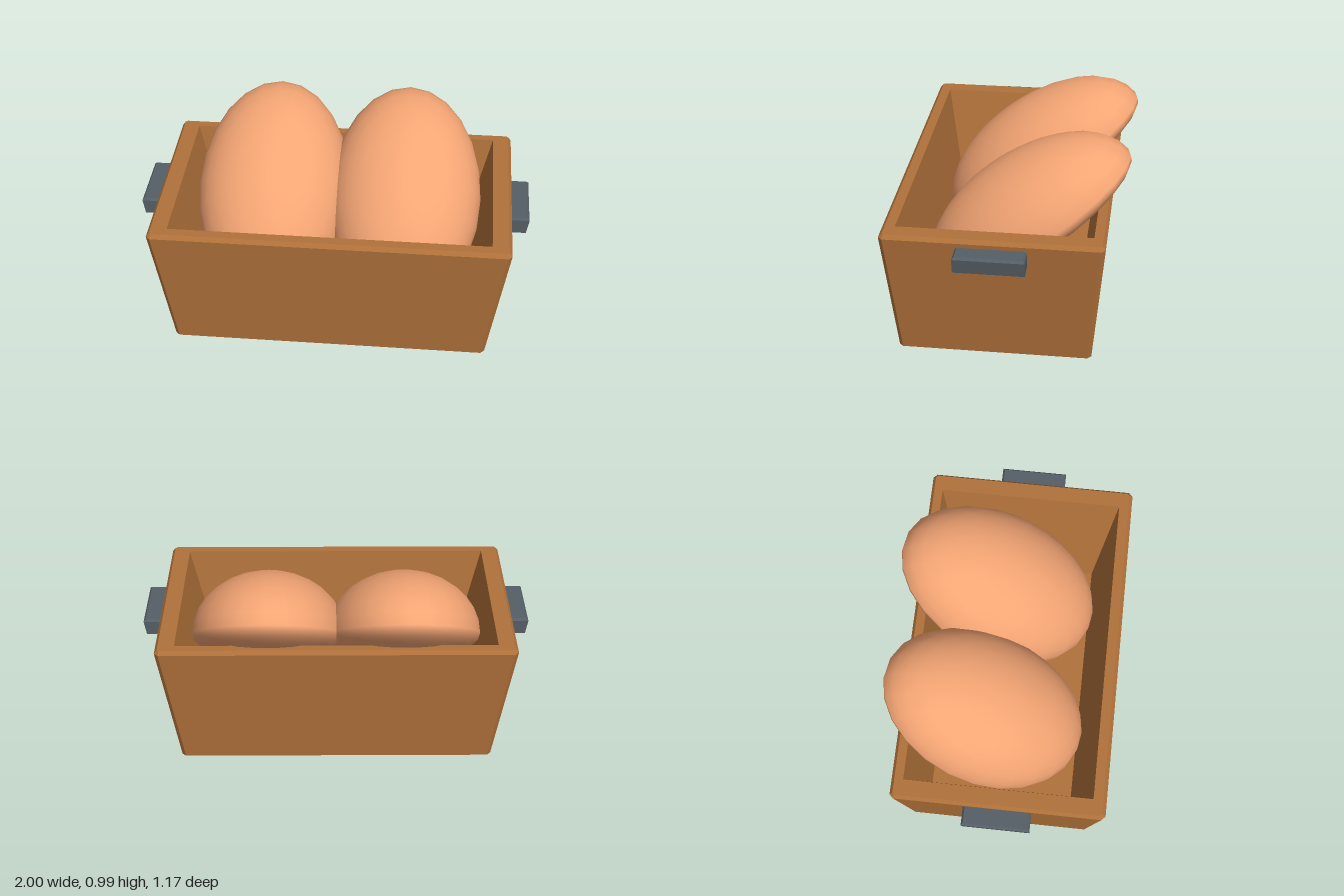
import * as THREE from 'three';
import { mergeVertices } from 'three/addons/utils/BufferGeometryUtils.js';

const wood = new THREE.MeshStandardMaterial({ color: 0xb0713a, flatShading: true });
const iron = new THREE.MeshStandardMaterial({ color: 0x565f66, flatShading: true });
const shell = new THREE.MeshStandardMaterial({ color: 0xf4a574 });

// Rectangle at height y with its four corners cut by c, seen counter-clockwise from above
function ring(y, x0, x1, z0, z1, c) {
  return [
    [x0 + c, z1], [x1 - c, z1], [x1, z1 - c], [x1, z0 + c],
    [x1 - c, z0], [x0 + c, z0], [x0, z0 + c], [x0, z1 - c],
  ].map(([x, z]) => [x, y, z]);
}

// Skin a stack of rings and cap the first and last
function loft(rings) {
  const pos = [];
  const tri = (a, b, c) => pos.push(...a, ...b, ...c);
  for (let r = 0; r + 1 < rings.length; r++) {
    const lo = rings[r], hi = rings[r + 1];
    for (let i = 0; i < lo.length; i++) {
      const j = (i + 1) % lo.length;
      tri(lo[i], lo[j], hi[j]);
      tri(lo[i], hi[j], hi[i]);
    }
  }
  const first = rings[0], last = rings[rings.length - 1];
  for (let i = 1; i + 1 < first.length; i++) {
    tri(first[0], first[i + 1], first[i]);
    tri(last[0], last[i], last[i + 1]);
  }
  const g = new THREE.BufferGeometry();
  g.setAttribute('position', new THREE.Float32BufferAttribute(pos, 3));
  g.computeVertexNormals();
  return g;
}

// Egg: domed above its equator, shallow below it
function eggGeometry() {
  const g = new THREE.SphereGeometry(1, 24, 16);
  const p = g.attributes.position;
  for (let i = 0; i < p.count; i++) {
    const y = p.getY(i);
    p.setXYZ(i, p.getX(i) * 0.405, y * (y > 0 ? 0.338 : 0.125), p.getZ(i) * 0.615);
  }
  g.deleteAttribute('uv');
  g.deleteAttribute('normal');
  const merged = mergeVertices(g, 1e-4);
  merged.computeVertexNormals();
  return merged;
}

export function createModel() {
  const group = new THREE.Group();
  const add = (name, geometry, material) => {
    const mesh = new THREE.Mesh(geometry, material);
    mesh.name = name;
    group.add(mesh);
    return mesh;
  };

  // Tapered crate: outer walls, bevelled rim, then down the inside to the floor
  add('crate', loft([
    ring(0, -0.81, 0.81, -0.44, 0.525, 0.02),
    ring(0.67, -0.908, 0.908, -0.5, 0.585, 0.02),
    ring(0.69, -0.893, 0.893, -0.485, 0.567, 0.01),
    ring(0.69, -0.81, 0.81, -0.44, 0.517, 0),
    ring(0.1, -0.66, 0.66, -0.34, 0.415, 0),
  ]), wood);

  // Handle blocks on the sides, bevelled along the top
  for (const [s, side] of [[1, 'left'], [-1, 'right']]) {
    const block = (y, inner, outer, z0, z1) =>
      ring(y, Math.min(s * inner, s * outer), Math.max(s * inner, s * outer), z0, z1, 0);
    add(side + 'Handle', loft([
      block(0.56, 0.87, 0.987, -0.13, 0.215),
      block(0.636, 0.88, 1, -0.13, 0.215),
      block(0.648, 0.88, 0.99, -0.12, 0.205),
    ]), iron);
  }

  // Two eggs leaning on the back rim
  const egg = eggGeometry();
  for (const [s, side] of [[1, 'left'], [-1, 'right']]) {
    const mesh = add(side + 'Egg', egg, shell);
    mesh.position.set(s * 0.35, 0.528, -0.093);
    mesh.rotation.x = 0.652;
  }
  return group;
}
